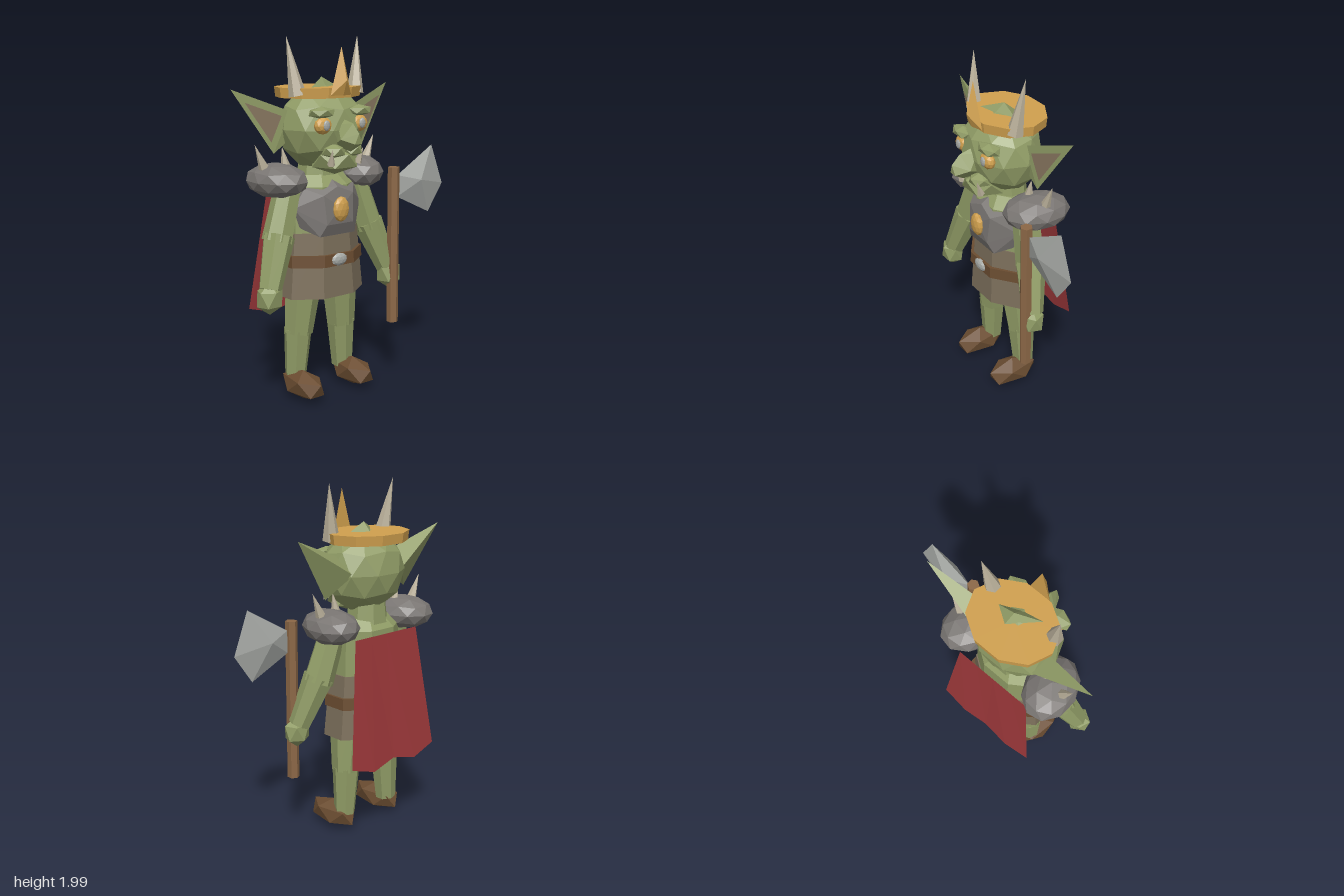
import * as THREE from 'three';
import { ConvexGeometry } from 'three/addons/geometries/ConvexGeometry.js';

const V = (x, y, z) => new THREE.Vector3(x, y, z);

function material(name, color, side = THREE.FrontSide) {
  const m = new THREE.MeshStandardMaterial({ color, flatShading: true, side });
  m.name = name;
  return m;
}

export function createModel() {
  const skin = material('skin', 0x909c66);
  const gold = material('gold', 0xd0a04e);
  const red = material('cape red', 0x9c383a, THREE.DoubleSide);
  const iron = material('dark iron', 0x797572);
  const cloth = material('tunic cloth', 0x7c6f5b);
  const leather = material('leather', 0x6b4d31);
  const wood = material('wood', 0x8b6746);
  const bone = material('bone', 0xbcb29c);
  const steel = material('steel', 0xa7aaa6);
  const innerEar = material('inner ear', 0x87765f, THREE.DoubleSide);

  const root = new THREE.Group();
  root.name = 'goblinKing';
  const body = new THREE.Group();
  body.name = 'figure';
  body.position.x = -0.137; // the axe on one side shifts the figure off centre
  root.add(body);

  function add(name, geo, mat) {
    const mesh = new THREE.Mesh(geo, mat);
    mesh.name = name;
    body.add(mesh);
    return mesh;
  }
  // faceted ball with a corner at its top
  function ball(name, mat, p, r, detail = 0) {
    const g = new THREE.IcosahedronGeometry(1, detail);
    g.rotateX(-Math.atan((1 + Math.sqrt(5)) / 2));
    g.scale(...r);
    const mesh = add(name, g, mat);
    mesh.position.set(...p);
    return mesh;
  }
  // tapered prism from a to b
  function limb(name, mat, a, b, r1, r2, sides = 7) {
    const A = V(...a), B = V(...b);
    const mesh = add(name, new THREE.CylinderGeometry(r2, r1, A.distanceTo(B), sides), mat);
    mesh.position.copy(A).lerp(B, 0.5);
    mesh.quaternion.setFromUnitVectors(V(0, 1, 0), B.clone().sub(A).normalize());
  }
  // upright oval prism with a flat face to the front
  function drum(name, mat, y0, y1, r0, r1, depth, sides, z = -0.05) {
    const g = new THREE.CylinderGeometry(r1, r0, y1 - y0, sides, 1, false, Math.PI / sides);
    g.scale(1, 1, depth);
    add(name, g, mat).position.set(0, (y0 + y1) / 2, z);
  }
  const hull = (name, mat, pts) => add(name, new ConvexGeometry(pts.map(p => V(...p))), mat);
  // the points together with their mirror images
  const both = pts => pts.flatMap(([x, y, z]) => [[x, y, z], [-x, y, z]]);

  // trunk
  drum('torso', skin, 0.88, 1.2, 0.23, 0.22, 0.68, 8);
  drum('shoulders', skin, 1.2, 1.26, 0.22, 0.14, 0.68, 8);
  drum('neck', skin, 1.2, 1.36, 0.13, 0.11, 0.9, 8, -0.06);
  drum('tunic', cloth, 0.59, 0.95, 0.272, 0.235, 0.69, 8);
  drum('belt', leather, 0.765, 0.83, 0.266, 0.262, 0.735, 8, -0.053);
  ball('buckle', steel, [0, 0.798, 0.122], [0.055, 0.036, 0.022], 1);
  hull('breastplate', iron, [[0, 1.24, 0.05], [0, 1.2, 0.11], [0, 1.09, 0.14],
    ...both([[0.17, 1.195, 0.04], [0.1, 1.16, 0.12], [0.23, 1.09, 0.02],
      [0.19, 0.98, 0.02], [0.12, 0.935, 0.11], [0.09, 1.0, 0.135], [0.2, 1.15, -0.05]])]);
  ball('chestGem', gold, [0, 1.08, 0.14], [0.052, 0.07, 0.028], 1);

  // head and face
  ball('head', skin, [0, 1.51, -0.025], [0.255, 0.235, 0.212], 1);
  hull('headPeak', skin, [[-0.125, 1.725, 0.04], [0.02, 1.725, -0.105], [0.12, 1.725, -0.04],
    [0.0, 1.725, 0.015], [0.01, 1.78, -0.04]]);
  hull('nose', skin, [[0, 1.565, 0.17], [0, 1.55, 0.24], [0, 1.5, 0.29], [0, 1.4, 0.22],
    ...both([[0.03, 1.54, 0.15], [0.058, 1.465, 0.21], [0.024, 1.445, 0.285], [0.04, 1.43, 0.13]])]);
  ball('jaw', skin, [0, 1.345, 0.085], [0.145, 0.08, 0.135]);

  // crown
  drum('crownBand', gold, 1.675, 1.73, 0.245, 0.252, 0.82, 10, -0.06);
  hull('crownPoint', gold, [[-0.07, 1.69, 0.14], [0.07, 1.69, 0.14], [0, 1.69, 0.16],
    [0, 1.945, 0.145], [0, 1.77, 0.19]]);

  // cape with a ragged hem
  const hem = [0.48, 0.43, 0.47, 0.43, 0.48];
  const pos = [], idx = [];
  hem.forEach((y, i) => {
    const t = i / 2 - 1;
    pos.push(t * 0.235, 1.18, -0.215, t * 0.323, y, i % 2 ? -0.295 : -0.286);
    if (i < 4) idx.push(2 * i, 2 * i + 2, 2 * i + 1, 2 * i + 1, 2 * i + 2, 2 * i + 3);
  });
  const capeGeo = new THREE.BufferGeometry();
  capeGeo.setAttribute('position', new THREE.Float32BufferAttribute(pos, 3));
  capeGeo.setIndex(idx);
  capeGeo.computeVertexNormals();
  add('cape', capeGeo, red);

  for (const s of [1, -1]) {
    const side = s > 0 ? 'left' : 'right';
    // legs
    limb(side + 'Thigh', skin, [s * 0.12, 0.72, -0.04], [s * 0.152, 0.37, -0.055], 0.11, 0.082);
    ball(side + 'Knee', skin, [s * 0.153, 0.37, -0.055], [0.076, 0.045, 0.07]);
    limb(side + 'Shin', skin, [s * 0.153, 0.39, -0.055], [s * 0.168, 0.11, -0.06], 0.08, 0.06);
    ball(side + 'Boot', leather, [s * 0.178, 0.09, 0.025], [0.089, 0.082, 0.178]);

    // arms
    limb(side + 'UpperArm', skin, [s * 0.22, 1.23, -0.03], [s * 0.32, 0.92, -0.005], 0.074, 0.086);
    limb(side + 'Forearm', skin, [s * 0.31, 0.95, -0.005], [s * 0.411, 0.68, 0.05], 0.088, 0.062);
    ball(side + 'Hand', skin, [s * 0.42, 0.64, 0.06], [0.082, 0.09, 0.07]);

    // shoulder armour
    const pad = ball(side + 'Pauldron', iron, [s * 0.276, 1.24, -0.065], [0.145, 0.096, 0.192], 1);
    pad.rotation.y = -s * 0.2;
    limb(side + 'OuterSpike', bone, [s * 0.345, 1.29, -0.07], [s * 0.41, 1.44, -0.07], 0.032, 0, 6);
    limb(side + 'InnerSpike', bone, [s * 0.225, 1.3, -0.05], [s * 0.25, 1.42, -0.05], 0.03, 0, 6);

    // ear: hollow front face and a ridge behind
    const ear = [[s * 0.531, 1.73, -0.1], [s * 0.2, 1.605, -0.04], [s * 0.303, 1.385, -0.05]];
    hull(side + 'Ear', skin, [...ear, [s * 0.19, 1.52, -0.15], [s * 0.18, 1.47, -0.05]]);
    const pts = ear.map(p => V(...p));
    const mid = V(0, 0, 0);
    pts.forEach(p => mid.addScaledVector(p, 1 / 3));
    const plate = new THREE.BufferGeometry().setFromPoints(
      pts.map(p => mid.clone().lerp(p, 0.62).add(V(0, -0.01, 0.008))));
    plate.setIndex(s > 0 ? [0, 1, 2] : [0, 2, 1]);
    plate.computeVertexNormals();
    add(side + 'InnerEar', plate, innerEar);

    // eye, brow, lip and tusk
    ball(side + 'Eye', gold, [s * 0.121, 1.537, 0.142], [0.056, 0.046, 0.034], 1);
    ball(side + 'Pupil', steel, [s * 0.121, 1.54, 0.172], [0.021, 0.028, 0.01], 1);
    ball(side + 'Brow', skin, [s * 0.125, 1.605, 0.135], [0.088, 0.032, 0.055]);
    ball(side + 'Lip', skin, [s * 0.058, 1.4, 0.145], [0.072, 0.042, 0.075]);
    limb(side + 'Tusk', bone, [s * 0.092, 1.33, 0.17], [s * 0.104, 1.415, 0.2], 0.022, 0, 5);

    // crown horn
    limb(side + 'CrownHorn', bone, [s * 0.195, 1.69, 0.02], [s * 0.24, 2.0, -0.015], 0.048, 0, 6);
  }

  // axe
  limb('axeShaft', wood, [0.417, 0.355, 0.1], [0.417, 1.265, 0.1], 0.034, 0.034, 6);
  hull('axeBlade', steel, [[0.445, 1.215, 0.1], [0.712, 1.37, 0.1], [0.804, 1.135, 0.1],
    [0.692, 0.975, 0.1], [0.445, 1.09, 0.1], [0.587, 1.18, 0.15], [0.587, 1.18, 0.05]]);

  return root;
}
